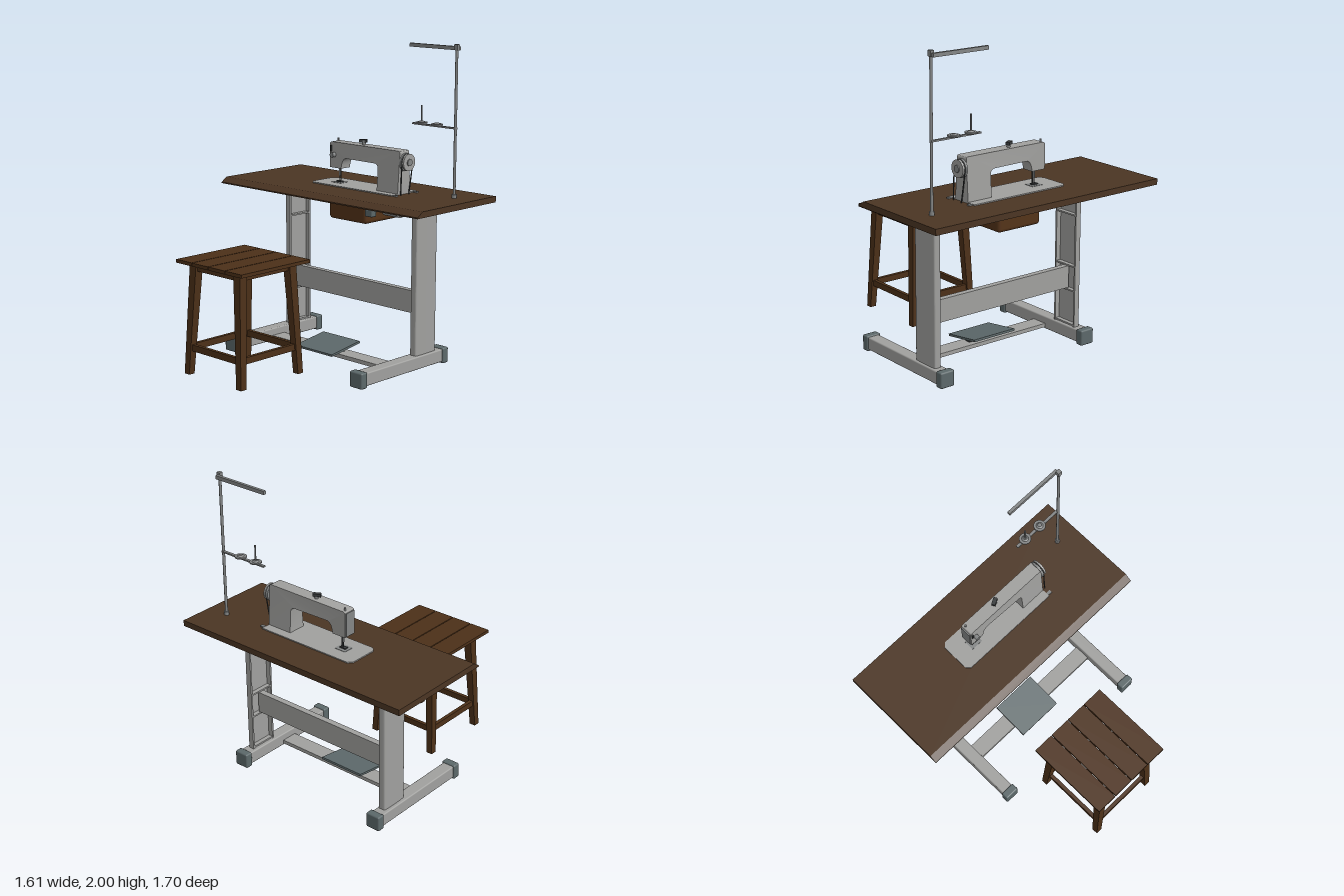
import * as THREE from 'three';
import { toCreasedNormals } from 'three/addons/utils/BufferGeometryUtils.js';
import { RoundedBoxGeometry } from 'three/addons/geometries/RoundedBoxGeometry.js';

const mat = (name, color) => {
  const m = new THREE.MeshStandardMaterial({ color });
  m.name = name;
  return m;
};

export function createModel() {
  const root = new THREE.Group();
  root.name = 'sewingStation';
  const tableWood = mat('tableWood', 0x4b3523);
  const stoolWood = mat('stoolWood', 0x4c3018);
  const boxWood = mat('boxWood', 0x543318);
  const paint = mat('greyPaint', 0xa0a09e);
  const rubber = mat('rubberCap', 0x5c686a);
  const steel = mat('steel', 0x848686);
  const dark = mat('darkMetal', 0x383b3c);

  const add = (parent, name, geo, material, x = 0, y = 0, z = 0) => {
    const m = new THREE.Mesh(geo, material);
    m.name = name;
    m.position.set(x, y, z);
    parent.add(m);
    return m;
  };
  const group = (name) => {
    const g = new THREE.Group();
    g.name = name;
    root.add(g);
    return g;
  };
  // box given by its limits on each axis
  const box = (p, name, m, x0, x1, y0, y1, z0, z1) =>
    add(p, name, new THREE.BoxGeometry(x1 - x0, y1 - y0, z1 - z0), m, (x0 + x1) / 2, (y0 + y1) / 2, (z0 + z1) / 2);
  const cyl = (p, name, m, r, h, x, y, z, axis = 'y', seg = 24, r2 = r) => {
    const g = new THREE.CylinderGeometry(r2, r, h, seg);
    if (axis === 'z') g.rotateX(Math.PI / 2);
    if (axis === 'x') g.rotateZ(Math.PI / 2);
    return add(p, name, g, m, x, y, z);
  };
  const polygon = (pts) => new THREE.Shape(pts.map(([x, y]) => new THREE.Vector2(x, y)));

  // Table top with a slanted working edge
  const table = group('table');
  const top = new THREE.ExtrudeGeometry(
    polygon([[0.06, 1.022], [0.8, 1.022], [0.8, 1.06], [0.105, 1.06], [0.06, 1.03]]),
    { depth: 1.7, bevelEnabled: false });
  add(table, 'tableTop', top, tableWood, 0, 0, -0.85);
  add(table, 'underTableBox', new RoundedBoxGeometry(0.32, 0.16, 0.32, 3, 0.022), boxWood, 0.44, 0.947, 0.08);
  add(table, 'switchBox', new RoundedBoxGeometry(0.045, 0.045, 0.06, 2, 0.008), rubber, 0.093, 0.999, 0.45);

  // Frame: two channel columns that open inwards, each on a capped foot
  const frame = group('frame');
  const channel = new THREE.Shape();
  channel.moveTo(-0.095, -0.022);
  channel.lineTo(-0.095, 0.012);
  channel.quadraticCurveTo(-0.095, 0.02, -0.08, 0.021);
  channel.quadraticCurveTo(0, 0.026, 0.08, 0.021);
  channel.quadraticCurveTo(0.095, 0.02, 0.095, 0.012);
  channel.lineTo(0.095, -0.022);
  channel.lineTo(0.083, -0.022);
  channel.lineTo(0.083, 0.01);
  channel.lineTo(-0.083, 0.01);
  channel.lineTo(-0.083, -0.022);
  const column = new THREE.ExtrudeGeometry(channel, { depth: 0.93, bevelEnabled: false, curveSegments: 5 });
  column.rotateX(-Math.PI / 2); // profile +y turns to -z
  const columnGeo = toCreasedNormals(column, 0.6);
  for (const [z, out] of [[0.615, 1], [-0.482, -1]]) {
    const c = add(frame, 'column', columnGeo, paint, 0.405, 0.092, z);
    if (out > 0) c.rotation.y = Math.PI;
    for (const y of [0.1, 0.325, 0.485, 0.82])
      box(frame, 'columnRib', paint, 0.322, 0.488, y - 0.005, y + 0.005, z - 0.02, z + 0.02);
    const fz = out > 0 ? 0.613 : -0.487;
    add(frame, 'foot', new RoundedBoxGeometry(0.74, 0.082, 0.082, 2, 0.008), paint, 0.195, 0.051, fz);
    for (const x of [-0.182, 0.57])
      add(frame, 'footCap', new RoundedBoxGeometry(0.052, 0.1, 0.1, 2, 0.01), rubber, x, 0.05, fz);
  }
  box(frame, 'stretcher', paint, 0.385, 0.425, 0.335, 0.478, -0.475, 0.605);
  box(frame, 'pedalBar', paint, 0.13, 0.24, 0.02, 0.045, -0.46, 0.58);
  const pedal = add(frame, 'pedal', new THREE.BoxGeometry(0.26, 0.014, 0.32), rubber, 0.17, 0.075, 0.02);
  pedal.rotation.z = 0.14;
  box(frame, 'pedalHinge', dark, 0.16, 0.2, 0.04, 0.07, -0.1, 0.14);

  // Machine bed plate with cut corners
  const machine = group('sewingMachine');
  const bed = new THREE.ExtrudeGeometry(
    polygon([[0.34, -0.4], [0.575, -0.4], [0.575, 0.28], [0.55, 0.305], [0.365, 0.305], [0.34, 0.28]]),
    { depth: 0.008, bevelEnabled: false });
  bed.rotateX(-Math.PI / 2);
  add(machine, 'bedPlate', bed, paint, 0, 1.059, 0);
  for (const x of [0.357, 0.55]) box(machine, 'bedHinge', steel, x - 0.01, x + 0.01, 1.058, 1.068, 0.4, 0.43);

  // Body outline runs along z, then narrows upwards and towards the needle
  const s = new THREE.Shape();
  s.moveTo(0.4, 1.065);
  s.lineTo(0.4, 1.32);
  s.quadraticCurveTo(0.4, 1.333, 0.385, 1.333);
  s.lineTo(-0.18, 1.333);
  s.quadraticCurveTo(-0.197, 1.333, -0.197, 1.315);
  s.lineTo(-0.197, 1.165);
  s.lineTo(-0.1, 1.165);
  s.quadraticCurveTo(-0.093, 1.228, -0.06, 1.235);
  s.lineTo(0.19, 1.235);
  s.quadraticCurveTo(0.225, 1.235, 0.225, 1.2);
  s.lineTo(0.225, 1.065);
  const body = new THREE.ExtrudeGeometry(s, {
    depth: 2, bevelEnabled: false, curveSegments: 8 });
  body.translate(0, 0, -1);
  body.rotateY(-Math.PI / 2);
  const p = body.attributes.position;
  for (let i = 0; i < p.count; i++) {
    const z = p.getZ(i), y = p.getY(i);
    const w = z > 0.1 ? 0.06 - 0.018 * (y - 1.065) / 0.268 : 0.041;
    p.setX(i, 0.455 + p.getX(i) * w);
  }
  add(machine, 'machineBody', toCreasedNormals(body, 0.6), paint);
  box(machine, 'facePlate', steel, 0.419, 0.491, 1.172, 1.322, -0.204, -0.196);
  const topKnob = add(machine, 'topLever', new THREE.BoxGeometry(0.025, 0.018, 0.05), dark, 0.46, 1.357, 0.05);
  topKnob.rotation.y = 0.5;
  cyl(machine, 'topLeverPost', steel, 0.012, 0.03, 0.46, 1.345, 0.055);
  cyl(machine, 'tensionKnob', steel, 0.016, 0.03, 0.402, 1.25, -0.16, 'x', 16);
  cyl(machine, 'threadGuide', steel, 0.006, 0.022, 0.475, 1.34, -0.18, 'y', 10);
  box(machine, 'takeUpLever', dark, 0.405, 0.415, 1.27, 1.31, -0.19, -0.18);

  // Needle and presser foot
  cyl(machine, 'needleBar', steel, 0.006, 0.06, 0.455, 1.14, -0.15, 'y', 12);
  cyl(machine, 'needle', dark, 0.003, 0.06, 0.455, 1.095, -0.15, 'y', 8);
  cyl(machine, 'presserBar', dark, 0.004, 0.1, 0.455, 1.12, -0.138, 'y', 10);
  box(machine, 'presserFoot', dark, 0.442, 0.468, 1.068, 1.076, -0.172, -0.13);
  box(machine, 'needlePlate', steel, 0.42, 0.49, 1.064, 1.069, -0.19, -0.11);

  // Hand wheel, belt and motor
  cyl(machine, 'handWheel', steel, 0.056, 0.014, 0.46, 1.262, 0.409, 'z', 32);
  cyl(machine, 'handWheelGroove', dark, 0.046, 0.012, 0.46, 1.262, 0.42, 'z', 32);
  cyl(machine, 'handWheelRim', paint, 0.054, 0.012, 0.46, 1.262, 0.431, 'z', 32);
  cyl(machine, 'handWheelHub', steel, 0.022, 0.008, 0.46, 1.262, 0.44, 'z', 20);
  const loop = [];
  for (let i = 0; i <= 8; i++) {
    const a = Math.PI * i / 8;
    loop.push(new THREE.Vector3(0.46 + 0.049 * Math.cos(a), 1.262 + 0.049 * Math.sin(a), 0.42));
  }
  for (let i = 0; i <= 6; i++) {
    const a = Math.PI * (1 + i / 6);
    loop.push(new THREE.Vector3(0.43 + 0.028 * Math.cos(a), 0.965 + 0.028 * Math.sin(a), 0.42));
  }
  const beltCurve = new THREE.CatmullRomCurve3(loop, true, 'centripetal');
  add(machine, 'driveBelt', new THREE.TubeGeometry(beltCurve, 80, 0.004, 6, true), dark);
  cyl(machine, 'motor', steel, 0.053, 0.12, 0.43, 0.965, 0.34, 'z', 28);
  cyl(machine, 'motorEnd', paint, 0.044, 0.15, 0.43, 0.965, 0.34, 'z', 28);
  cyl(machine, 'motorPulley', dark, 0.03, 0.016, 0.43, 0.965, 0.42, 'z', 24);
  box(machine, 'motorBracket', steel, 0.4, 0.46, 0.98, 1.023, 0.28, 0.39);

  // Thread stand
  const stand = group('threadStand');
  cyl(stand, 'standPole', steel, 0.009, 1, 0.572, 1.498, 0.705, 'y', 14);
  cyl(stand, 'poleCollar', steel, 0.016, 0.025, 0.572, 1.07, 0.705, 'y', 16);
  box(stand, 'poleCap', steel, 0.56, 0.586, 1.965, 2, 0.692, 0.718);
  box(stand, 'threadArm', steel, 0.584, 0.603, 1.963, 1.986, 0.32, 0.71);
  box(stand, 'spoolArm', steel, 0.568, 0.586, 1.484, 1.494, 0.36, 0.71);
  for (const z of [0.43, 0.553]) {
    cyl(stand, 'spoolDisc', steel, 0.037, 0.008, 0.578, 1.499, z, 'y', 24);
    cyl(stand, 'spoolSeat', steel, 0.024, 0.01, 0.578, 1.506, z, 'y', 20, 0.012);
  }
  cyl(stand, 'spoolPin', steel, 0.005, 0.11, 0.578, 1.553, 0.43, 'y', 10);

  // Stool: four planks, splayed legs, aprons and low rails
  const stool = group('stool');
  const cx = -0.525, cz = -0.018;
  const cuts = [-0.305, -0.162, -0.018, 0.127, 0.27];
  for (let i = 0; i < 4; i++)
    box(stool, 'seatPlank', stoolWood, -0.805, -0.245, 0.717, 0.738, cuts[i] + (i ? 0.003 : 0), cuts[i + 1] - (i < 3 ? 0.003 : 0));
  for (const sx of [-1, 1]) for (const sz of [-1, 1]) {
    const leg = new THREE.BoxGeometry(1, 0.69, 1);
    const q = leg.attributes.position;
    for (let i = 0; i < q.count; i++) {
      const up = q.getY(i) > 0, w = up ? 0.056 : 0.042;
      q.setX(i, q.getX(i) * w + sx * (up ? 0.202 : 0.236));
      q.setZ(i, q.getZ(i) * w + sz * (up ? 0.192 : 0.23));
    }
    leg.computeVertexNormals();
    add(stool, 'stoolLeg', leg, stoolWood, cx, 0.373, cz);
  }
  for (const sgn of [-1, 1]) {
    const ax = cx + sgn * 0.205, az = cz + sgn * 0.195;
    box(stool, 'apron', stoolWood, ax - 0.012, ax + 0.012, 0.672, 0.717, cz - 0.19, cz + 0.19);
    box(stool, 'apron', stoolWood, cx - 0.2, cx + 0.2, 0.672, 0.717, az - 0.012, az + 0.012);
    const rx = cx + sgn * 0.227, rz = cz + sgn * 0.22;
    box(stool, 'rail', stoolWood, rx - 0.012, rx + 0.012, 0.175, 0.215, cz - 0.215, cz + 0.215);
    box(stool, 'rail', stoolWood, cx - 0.222, cx + 0.222, 0.175, 0.215, rz - 0.012, rz + 0.012);
  }
  return root;
}
